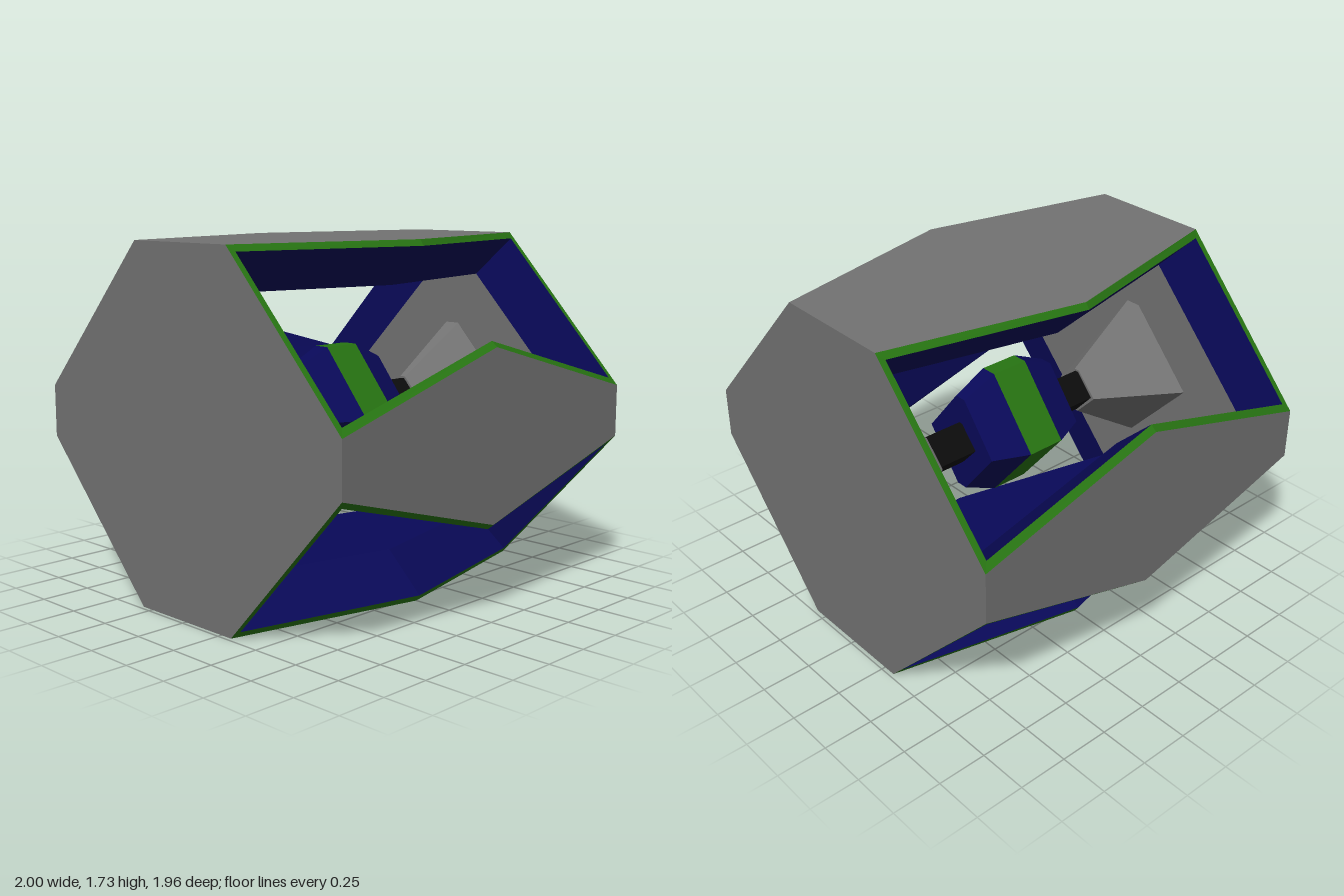
import * as THREE from 'three';

const mat = (color) => new THREE.MeshStandardMaterial({ color, flatShading: true });
const GREY = mat(0x727272), GREEN = mat(0x277412), BLUE = mat(0x090958), BLACK = mat(0x0c0c0c);

// Turns a list of convex polygons into a flat-shaded mesh
function facesMesh(name, polygons, material) {
  const positions = [];
  for (const p of polygons) {
    for (let i = 1; i < p.length - 1; i++) positions.push(...p[0], ...p[i], ...p[i + 1]);
  }
  const geometry = new THREE.BufferGeometry();
  geometry.setAttribute('position', new THREE.Float32BufferAttribute(positions, 3));
  geometry.computeVertexNormals();
  const mesh = new THREE.Mesh(geometry, material);
  mesh.name = name;
  return mesh;
}

// Orders a polygon so that it faces along the given direction
function facing(points, dir) {
  const [a, b, c] = points.map((p) => new THREE.Vector3(...p));
  const n = b.sub(a).cross(c.sub(a));
  return n.dot(new THREE.Vector3(...dir)) < 0 ? [...points].reverse() : points;
}

// Each ring: front plate corners a and b, side panel tip c, top panel tip f
const OUTER = { a: [0.315, 0.865, 0.98], b: [1, 0.128, 0.98], c: [1, 0.405, 0], f: [0.545, 0.865, 0] };
const RIM = { a: [0.345, 0.835, 0.95], b: [0.97, 0.165, 0.95], c: [0.97, 0.43, 0], f: [0.565, 0.835, 0] };
const INNER = { a: [0.16, 0.645, 0.9], b: [0.77, 0.005, 0.9], c: [0.77, 0.24, 0], f: [0.368, 0.645, 0] };

const flip = ([x, y, z], sx, sy, sz) => [x * sx, y * sy, z * sz];

// Six-cornered window outline on one diagonal edge of the body
const windowRing = ({ a, b, c, f }, sx, sy) =>
  [a, b, c, flip(b, 1, 1, -1), flip(a, 1, 1, -1), f].map((p) => flip(p, sx, sy, 1));

// Sloping band between two window outlines
function band(outer, inner, sx, sy) {
  const o = windowRing(outer, sx, sy), n = windowRing(inner, sx, sy);
  return o.map((p, i) => {
    const j = (i + 1) % 6;
    const quad = [p, o[j], n[j], n[i]];
    return sx * sy < 0 ? quad.reverse() : quad;
  });
}

// Octagonal front and back plates of one skin (side 1 = outside, -1 = inside)
function endPlates({ a, b }, side) {
  const plate = [a, b, flip(b, 1, -1, 1), flip(a, 1, -1, 1),
    flip(a, -1, -1, 1), flip(b, -1, -1, 1), flip(b, -1, 1, 1), flip(a, -1, 1, 1)];
  return [1, -1].map((s) => facing(plate.map((p) => flip(p, 1, 1, s)), [0, 0, s * side]));
}

// Hexagonal left, right, top and bottom panels of one skin
function hexPanels({ a, b, c, f }, side) {
  const sidePanel = [b, c, flip(b, 1, 1, -1), flip(b, 1, -1, -1), flip(c, 1, -1, 1), flip(b, 1, -1, 1)];
  const topPanel = [a, f, flip(a, 1, 1, -1), flip(a, -1, 1, -1), flip(f, -1, 1, 1), flip(a, -1, 1, 1)];
  return [1, -1].flatMap((s) => [
    facing(sidePanel.map((p) => flip(p, s, 1, 1)), [s * side, 0, 0]),
    facing(topPanel.map((p) => flip(p, 1, s, 1)), [0, s * side, 0])]);
}

// Lofts diamond sections [halfWidth, halfHeight, tip, z], listed from low z to high z
function diamondLoft(name, sections, material, caps = true) {
  const rings = sections.map(([w, h, t, z]) =>
    [[w, 0, z], [t, h, z], [-t, h, z], [-w, 0, z], [-t, -h, z], [t, -h, z]]);
  const polygons = [];
  for (let k = 0; k < rings.length - 1; k++) {
    const lo = rings[k], hi = rings[k + 1];
    lo.forEach((p, i) => polygons.push([p, lo[(i + 1) % 6], hi[(i + 1) % 6], hi[i]]));
  }
  if (caps) polygons.push([...rings[0]].reverse(), rings[rings.length - 1]);
  return facesMesh(name, polygons, material);
}

export function createModel() {
  const model = new THREE.Group();
  model.name = 'openFrameCube';
  const body = new THREE.Group();
  body.position.y = 0.865;
  model.add(body);

  // Hollow shell
  body.add(facesMesh('outerEndPlates', endPlates(OUTER, 1), GREY));
  body.add(facesMesh('outerPanels', hexPanels(OUTER, 1), GREY));
  body.add(facesMesh('innerEndPlates', endPlates(INNER, -1), GREY));
  body.add(facesMesh('innerPanels', hexPanels(INNER, -1), BLUE));

  // Four diagonal windows with a rim and a sloping reveal
  for (const sx of [1, -1]) {
    for (const sy of [1, -1]) {
      const name = (sy > 0 ? 'upper' : 'lower') + (sx > 0 ? 'Left' : 'Right');
      body.add(facesMesh(name + 'WindowRim', band(OUTER, RIM, sx, sy), GREEN));
      body.add(facesMesh(name + 'WindowReveal', band(RIM, INNER, sx, sy), BLUE));
    }
  }

  // Core held in the middle
  body.add(diamondLoft('coreBand', [[0.31, 0.33, 0.04, -0.1], [0.31, 0.33, 0.04, 0.1]], GREEN, false));

  // Core half, rod and tapered mount, repeated front and back
  for (const s of [1, -1]) {
    const arm = new THREE.Group();
    arm.name = s > 0 ? 'frontArm' : 'backArm';
    arm.rotation.y = s > 0 ? 0 : Math.PI;
    arm.add(diamondLoft('coreBevel', [[0.31, 0.33, 0.04, 0.1], [0.23, 0.25, 0.03, 0.28]], BLUE));
    arm.add(diamondLoft('rod', [[0.11, 0.11, 0.01, 0.27], [0.11, 0.11, 0.01, 0.51]], BLACK));
    arm.add(diamondLoft('mount', [[0.13, 0.12, 0.015, 0.5], [0.39, 0.375, 0.04, 0.9]], GREY));
    body.add(arm);
  }
  return model;
}
